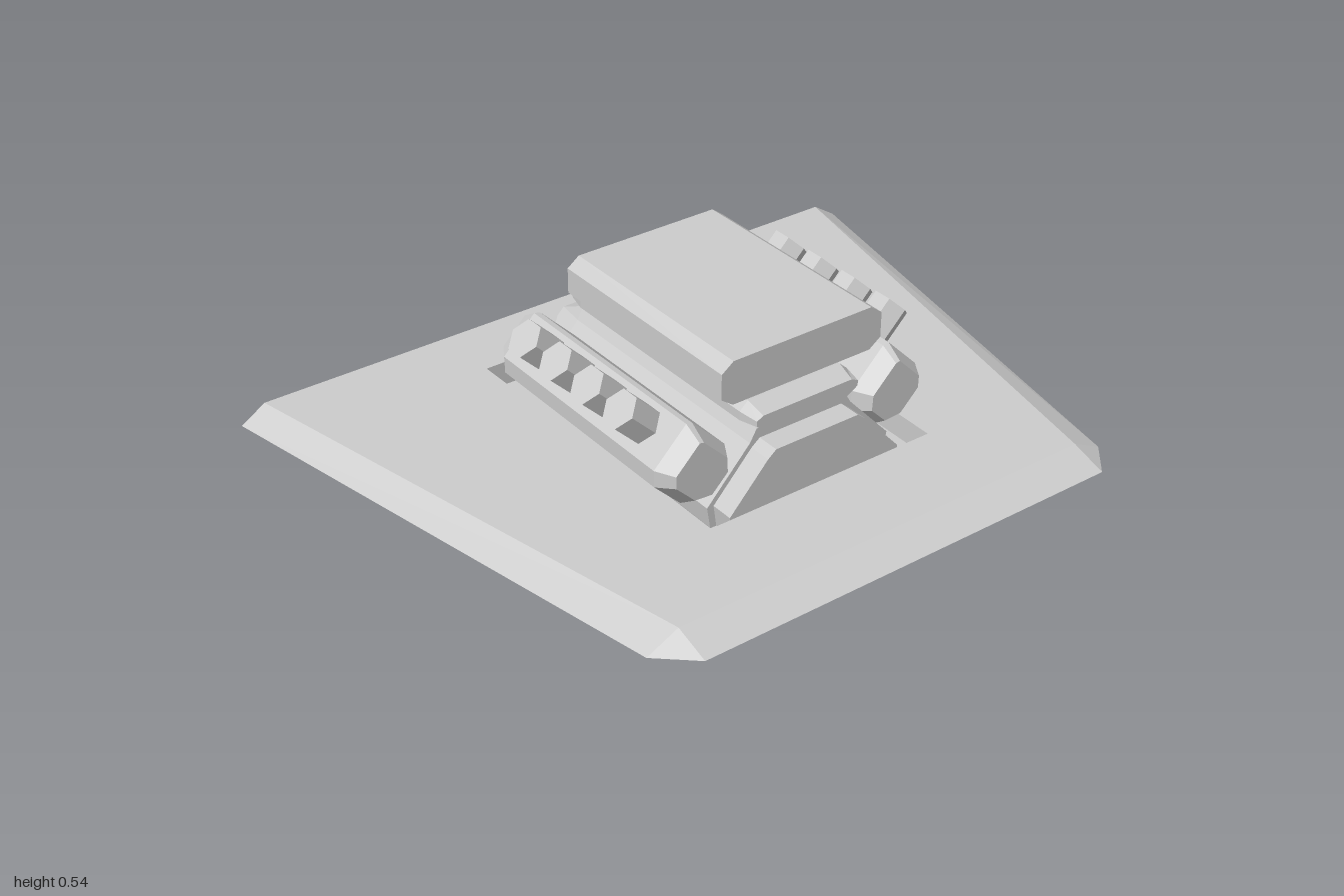
import * as THREE from 'three';

const solid = new THREE.MeshStandardMaterial({ color: 0xcccccc, flatShading: true });
const sheet = new THREE.MeshStandardMaterial({ color: 0xcccccc, flatShading: true, side: THREE.DoubleSide });

function geometryFrom(triangles) {
  const g = new THREE.BufferGeometry();
  g.setAttribute('position', new THREE.Float32BufferAttribute(triangles.flat(), 3));
  g.computeVertexNormals();
  return g;
}

// Solid through convex rings of [x, y], given from front to back as { z, ring }
function loft(sections) {
  const rings = sections.map(({ z, ring }) => ring.map(([x, y]) => [x, y, z]));
  const n = rings[0].length, t = [], last = rings[rings.length - 1];
  for (let s = 0; s + 1 < rings.length; s++) {
    const a = rings[s], b = rings[s + 1];
    for (let i = 0; i < n; i++) {
      const j = (i + 1) % n;
      t.push(a[i], b[i], a[j], a[j], b[i], b[j]);
    }
  }
  for (let i = 1; i < n - 1; i++) {
    t.push(rings[0][0], rings[0][i], rings[0][i + 1]);
    t.push(last[0], last[i + 1], last[i]);
  }
  return geometryFrom(t);
}

// Strip of quads between two equally long paths
function ribbon(a, b) {
  const t = [];
  for (let i = 0; i + 1 < a.length; i++) t.push(a[i], b[i], a[i + 1], a[i + 1], b[i], b[i + 1]);
  return geometryFrom(t);
}

// Full symmetrical ring from its +x half, listed bottom to top
const both = half => [...half, ...half.map(([x, y]) => [-x, y]).reverse()];
const mirrorRing = ring => ring.map(([x, y]) => [-x, y]).reverse();

export function createModel() {
  const model = new THREE.Group();
  model.name = 'hoodWithEngine';
  const add = (name, geometry, material = solid) => {
    const m = new THREE.Mesh(geometry, material);
    m.name = name;
    model.add(m);
    return m;
  };

  // Hood panel with engine opening
  const top = 0.147;
  const hole = [[-0.375, -0.55], [-0.36, 0.39], [0.36, 0.39], [0.375, -0.55]];
  const toVectors = pts => pts.map(([x, z]) => new THREE.Vector2(x, -z));
  const panel = new THREE.Shape(toVectors([[-0.93, -0.75], [-0.63, 0.65], [0.63, 0.65], [0.93, -0.75]]));
  panel.holes.push(new THREE.Path(toVectors(hole)));
  add('hoodPanel', new THREE.ShapeGeometry(panel).rotateX(-Math.PI / 2).translate(0, top, 0), sheet);

  // Sloping lip along the sides and front of the hood
  add('hoodLip', ribbon(
    [[-0.93, top, -0.75], [-0.63, top, 0.65], [-0.63, top, 0.65], [0.63, top, 0.65], [0.63, top, 0.65], [0.93, top, -0.75]],
    [[-1, 0.102, -0.75], [-0.72, 0.103, 0.65], [-0.63, 0.115, 0.75], [0.63, 0.115, 0.75], [0.72, 0.103, 0.65], [1, 0.102, -0.75]]
  ), sheet);

  // Recessed tray around the engine
  const loop = [...hole, hole[0]];
  add('trayWalls', ribbon(loop.map(([x, z]) => [x, top, z]), loop.map(([x, z]) => [x, 0.077, z])), sheet);
  add('trayFloor', new THREE.ShapeGeometry(new THREE.Shape(toVectors(hole)))
    .rotateX(-Math.PI / 2).translate(0, 0.077, 0), sheet);

  // Engine block, narrowing at the rear
  const block = both([[0.26, 0.007], [0.28, 0.08], [0.29, 0.14], [0.16, 0.28], [0.14, 0.315]]);
  const rear = both([[0.2, 0.01], [0.2, 0.08], [0.2, 0.14], [0.17, 0.26], [0.15, 0.28]]);
  add('engineBlock', loft([{ z: 0.31, ring: block }, { z: -0.43, ring: block }, { z: -0.51, ring: rear }]));

  // Front cover with a raised centre
  const cover = both([[0.22, 0.045], [0.26, 0.07], [0.27, 0.14], [0.155, 0.265], [0.13, 0.285]]);
  add('frontCover', loft([{ z: 0.375, ring: cover }, { z: 0.3, ring: cover }]));

  // Intake manifold with tapered ends, and the neck on it
  const intake = both([[0.12, 0.3], [0.17, 0.335], [0.17, 0.36], [0.145, 0.383]]);
  const intakeEnd = both([[0.11, 0.31], [0.16, 0.34], [0.16, 0.355], [0.14, 0.365]]);
  add('intakeManifold', loft([
    { z: 0.335, ring: intakeEnd }, { z: 0.28, ring: intake },
    { z: -0.4, ring: intake }, { z: -0.45, ring: intakeEnd }
  ]));
  add('intakeNeck', new THREE.BoxGeometry(0.19, 0.05, 0.54)).position.set(0, 0.395, -0.01);

  // Air scoop
  const scoop = both([[0.215, 0.412], [0.25, 0.437], [0.25, 0.508], [0.215, 0.534]]);
  add('airScoop', loft([{ z: 0.31, ring: scoop }, { z: -0.335, ring: scoop }]));

  // Cylinder heads leaning outwards, each with four exhaust stubs
  const d = Math.SQRT1_2;
  const headProfile = [[0.085, -0.067], [0.085, 0.07], [0.07, 0.08], [-0.07, 0.08],
    [-0.115, 0.04], [-0.115, -0.053], [-0.06, -0.1], [0.05, -0.1]];
  const headRing = k => headProfile.map(([u, v]) => [0.31 + (u - v) * d * k, 0.265 + (u + v) * d * k]);
  for (const [side, s] of [['left', 1], ['right', -1]]) {
    const ring = k => (s > 0 ? headRing(k) : mirrorRing(headRing(k)));
    add(side + 'CylinderHead', loft([
      { z: 0.315, ring: ring(0.72) }, { z: 0.265, ring: ring(1) },
      { z: -0.39, ring: ring(1) }, { z: -0.44, ring: ring(0.72) }
    ]));
    for (let i = 0; i < 4; i++) {
      const stub = add(side + 'ExhaustStub' + (i + 1), new THREE.CylinderGeometry(0.053, 0.053, 0.16, 6));
      stub.rotation.z = -s * Math.PI / 4;
      stub.position.set(s * 0.376, 0.343, 0.147 - i * 0.137);
    }
  }

  // Whole assembly rises slightly towards the rear
  model.rotation.x = 0.02;
  const root = new THREE.Group();
  root.name = 'model';
  root.add(model);
  return root;
}
